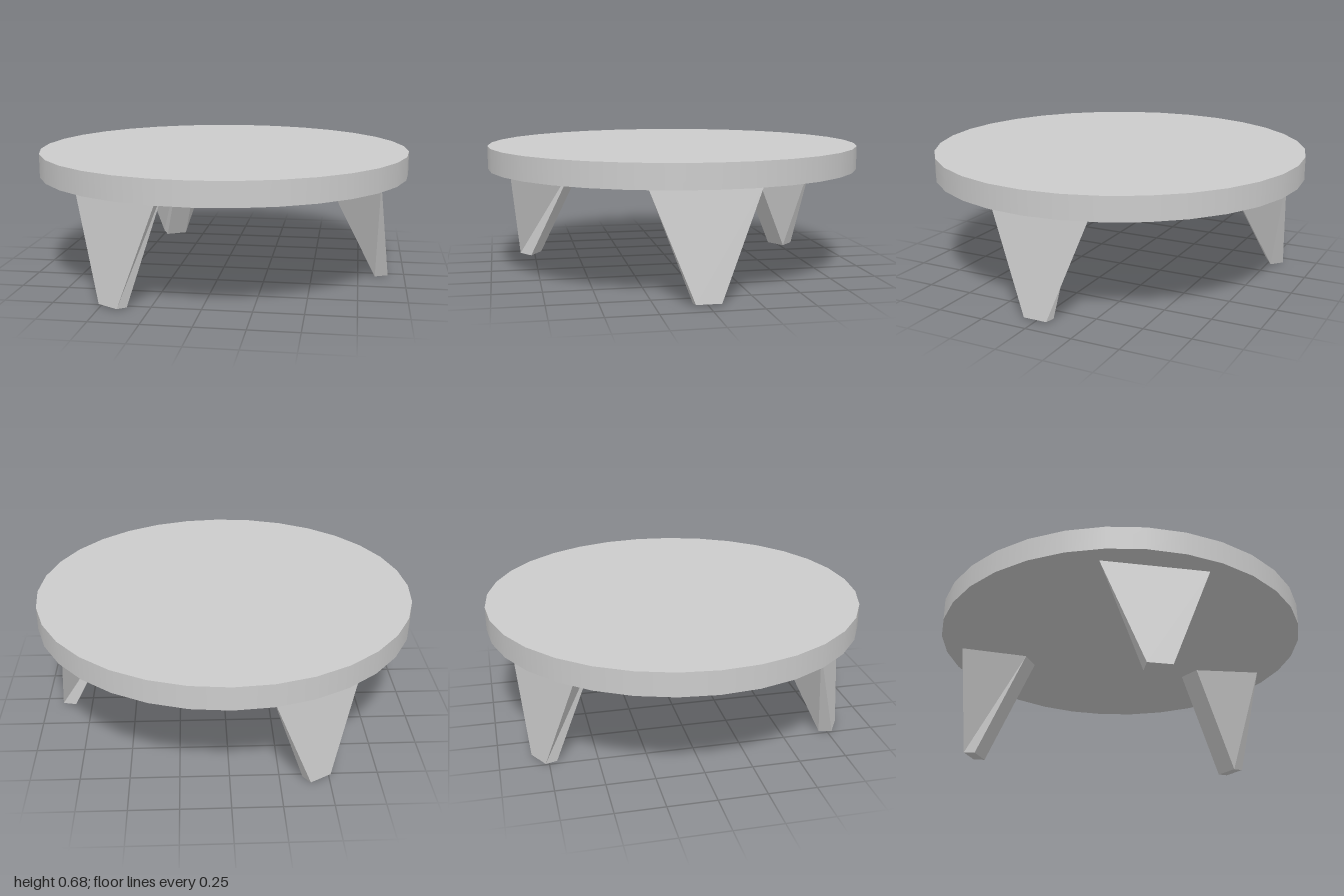
import * as THREE from 'three';

const TOP_Y = 0.684, UNDER_Y = 0.561;

// Tapered leg pointing along +x: trapezoid at the tabletop, small rectangle at the foot
function legGeometry() {
  // [radius, height, half width] of the inner and outer edges
  const innerTop = [0.553, UNDER_Y, 0.062], outerTop = [0.853, UNDER_Y, 0.274];
  const innerFoot = [0.842, 0, 0.062], outerFoot = [0.911, 0.01, 0.062];
  const ring = (inner, outer) => [
    [inner[0], inner[1], inner[2]], [outer[0], outer[1], outer[2]],
    [outer[0], outer[1], -outer[2]], [inner[0], inner[1], -inner[2]],
  ];
  const a = ring(innerFoot, outerFoot), b = ring(innerTop, outerTop);
  const pos = [];
  const quad = (p, q, r, s) => pos.push(...p, ...q, ...r, ...p, ...r, ...s);
  for (let i = 0; i < 4; i++) {
    const j = (i + 1) % 4;
    quad(a[i], a[j], b[j], b[i]);
  }
  quad(a[3], a[2], a[1], a[0]); // foot
  quad(b[0], b[1], b[2], b[3]); // joint under the tabletop
  const geo = new THREE.BufferGeometry();
  geo.setAttribute('position', new THREE.Float32BufferAttribute(pos, 3));
  geo.computeVertexNormals();
  return geo;
}

export function createModel() {
  const model = new THREE.Group();
  model.name = 'roundTable';
  const material = new THREE.MeshStandardMaterial({ color: 0xcccccc });

  // Round tabletop
  const top = new THREE.Mesh(new THREE.CylinderGeometry(1, 1, TOP_Y - UNDER_Y, 32), material);
  top.name = 'tabletop';
  top.position.y = (TOP_Y + UNDER_Y) / 2;
  model.add(top);

  // Three legs evenly spread, the set very slightly wider in z
  const legs = new THREE.Group();
  legs.name = 'legs';
  legs.scale.z = 1.015;
  const geo = legGeometry();
  ['leftLeg', 'backRightLeg', 'frontRightLeg'].forEach((name, i) => {
    const leg = new THREE.Mesh(geo, material);
    leg.name = name;
    leg.rotation.y = (i * Math.PI * 2) / 3;
    legs.add(leg);
  });
  model.add(legs);
  return model;
}
